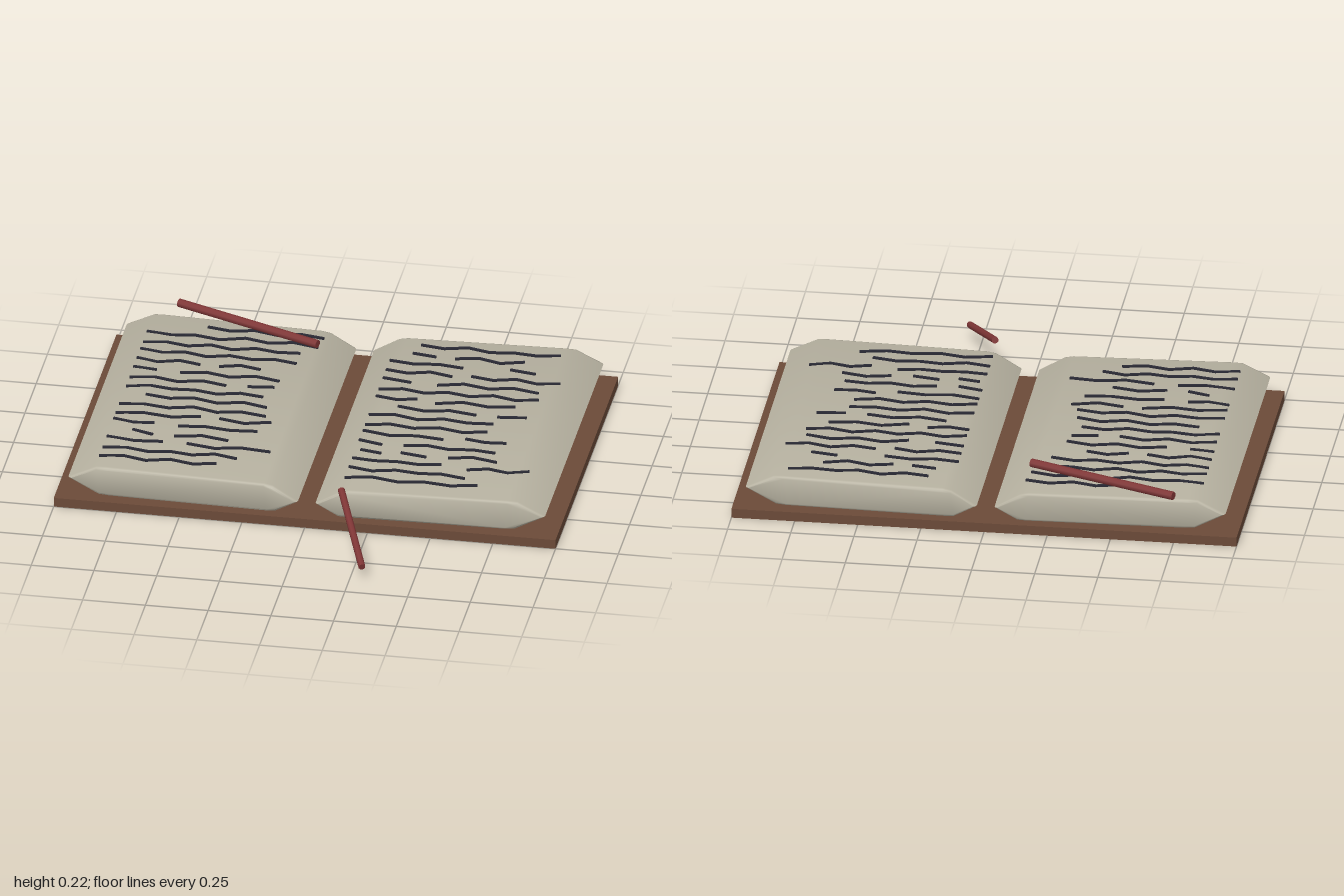
import * as THREE from 'three';
import { toCreasedNormals, mergeGeometries } from 'three/addons/utils/BufferGeometryUtils.js';

const material = (color) => new THREE.MeshStandardMaterial({ color, roughness: 0.8 });

function part(name, geometry, mat) {
  const mesh = new THREE.Mesh(geometry, mat);
  mesh.name = name;
  return mesh;
}

// Page block: six-sided outline, spine side first, with softened ends
function pageBlock(side) {
  const outline = [
    [0.035, 0.09], [0.135, 0.15], [0.17, 0.157], [0.8, 0.17], [0.84, 0.169],
    [0.95, 0.115], [0.83, 0.05], [0.79, 0.046], [0.16, 0.038], [0.125, 0.04],
  ];
  const shape = new THREE.Shape(outline.map(([x, y]) => new THREE.Vector2(side * x, y)));
  const bevel = 0.014;
  const geometry = new THREE.ExtrudeGeometry(shape, {
    depth: 1.317 - 2 * bevel, bevelThickness: bevel,
    bevelSize: 0.01, bevelOffset: -0.01, bevelSegments: 2,
  });
  geometry.translate(0, 0, -0.852 + bevel);
  return toCreasedNormals(geometry, 1.1);
}

// Round bar between two points
function bar(name, from, to, radius, mat) {
  const a = new THREE.Vector3(...from), b = new THREE.Vector3(...to);
  const direction = b.clone().sub(a);
  const mesh = part(name, new THREE.CylinderGeometry(radius, radius, direction.length(), 8), mat);
  mesh.position.copy(a).add(b).multiplyScalar(0.5);
  mesh.quaternion.setFromUnitVectors(new THREE.Vector3(0, 1, 0), direction.normalize());
  return mesh;
}

// Start and end x of every pen stroke, row by row
const leftRows = [
  [-0.61, -0.15], [-0.84, -0.16], [-0.84, -0.22], [-0.84, -0.22],
  [-0.84, -0.59, -0.51, -0.35], [-0.84, -0.75, -0.65, -0.26], [-0.84, -0.46, -0.37, -0.27],
  [-0.84, -0.3], [-0.75, -0.27], [-0.84, -0.26], [-0.84, -0.51, -0.43, -0.23],
  [-0.84, -0.68, -0.58, -0.27], [-0.75, -0.67, -0.58, -0.37], [-0.84, -0.62, -0.52, -0.19],
  [-0.84, -0.31], [-0.84, -0.38],
];
const rightRows = [
  [0.24, 0.79], [0.22, 0.31, 0.39, 0.66], [0.14, 0.43, 0.62, 0.72], [0.14, 0.4, 0.48, 0.83],
  [0.14, 0.25, 0.36, 0.76], [0.14, 0.77], [0.14, 0.3, 0.38, 0.69], [0.24, 0.55, 0.64, 0.75],
  [0.14, 0.63], [0.14, 0.62], [0.14, 0.46, 0.55, 0.71], [0.14, 0.23, 0.32, 0.68],
  [0.16, 0.24, 0.32, 0.42, 0.51, 0.7], [0.14, 0.49, 0.6, 0.84], [0.14, 0.6], [0.14, 0.66],
];

// Wavering pen strokes made of thin boxes, joined into one mesh
function writing(rows, seed) {
  const random = () => (seed = (seed * 16807) % 2147483647) / 2147483647;
  const pieces = [];
  rows.forEach((row, r) => {
    const z = -0.76 + r * 0.075;
    for (let i = 0; i < row.length; i += 2) {
      const length = row[i + 1] - row[i];
      const steps = Math.max(1, Math.round(length / 0.095));
      const flip = random() < 0.5 ? 1 : -1;
      const points = [];
      for (let k = 0; k <= steps; k++) {
        const sway = flip * (k % 2 ? 1 : -1) * (0.003 + 0.013 * random());
        points.push([row[i] + (length * k) / steps, z + sway]);
      }
      for (let k = 0; k < steps; k++) {
        const [x0, z0] = points[k], [x1, z1] = points[k + 1];
        const box = new THREE.BoxGeometry(Math.hypot(x1 - x0, z1 - z0) + 0.005, 0.008, 0.01);
        box.rotateY(-Math.atan2(z1 - z0, x1 - x0));
        box.translate((x0 + x1) / 2, 0.172, (z0 + z1) / 2);
        pieces.push(box);
      }
    }
  });
  return mergeGeometries(pieces);
}

export function createModel() {
  const group = new THREE.Group();
  group.name = 'openBook';
  const leather = material(0x6b4a38);
  const paper = material(0xb5b09f);
  const ink = material(0x2a2a35);
  const red = material(0x803636);

  // Cover board
  const cover = part('cover', new THREE.BoxGeometry(2, 0.038, 1.39), leather);
  cover.position.set(0, 0.019, -0.195);
  group.add(cover);

  // Two page blocks
  group.add(part('rightPages', pageBlock(-1), paper));
  group.add(part('leftPages', pageBlock(1), paper));

  // Handwriting
  group.add(part('rightWriting', writing(leftRows, 71), ink));
  group.add(part('leftWriting', writing(rightRows, 1234), ink));

  // Marker lying on the page and marker hanging past the front edge
  group.add(bar('pageMarker', [-0.75, 0.203, -0.89], [-0.155, 0.2, -0.65], 0.017, red));
  group.add(bar('frontMarker', [0.147, 0.184, 0.505], [0.3, 0.061, 0.898], 0.014, red));
  return group;
}
